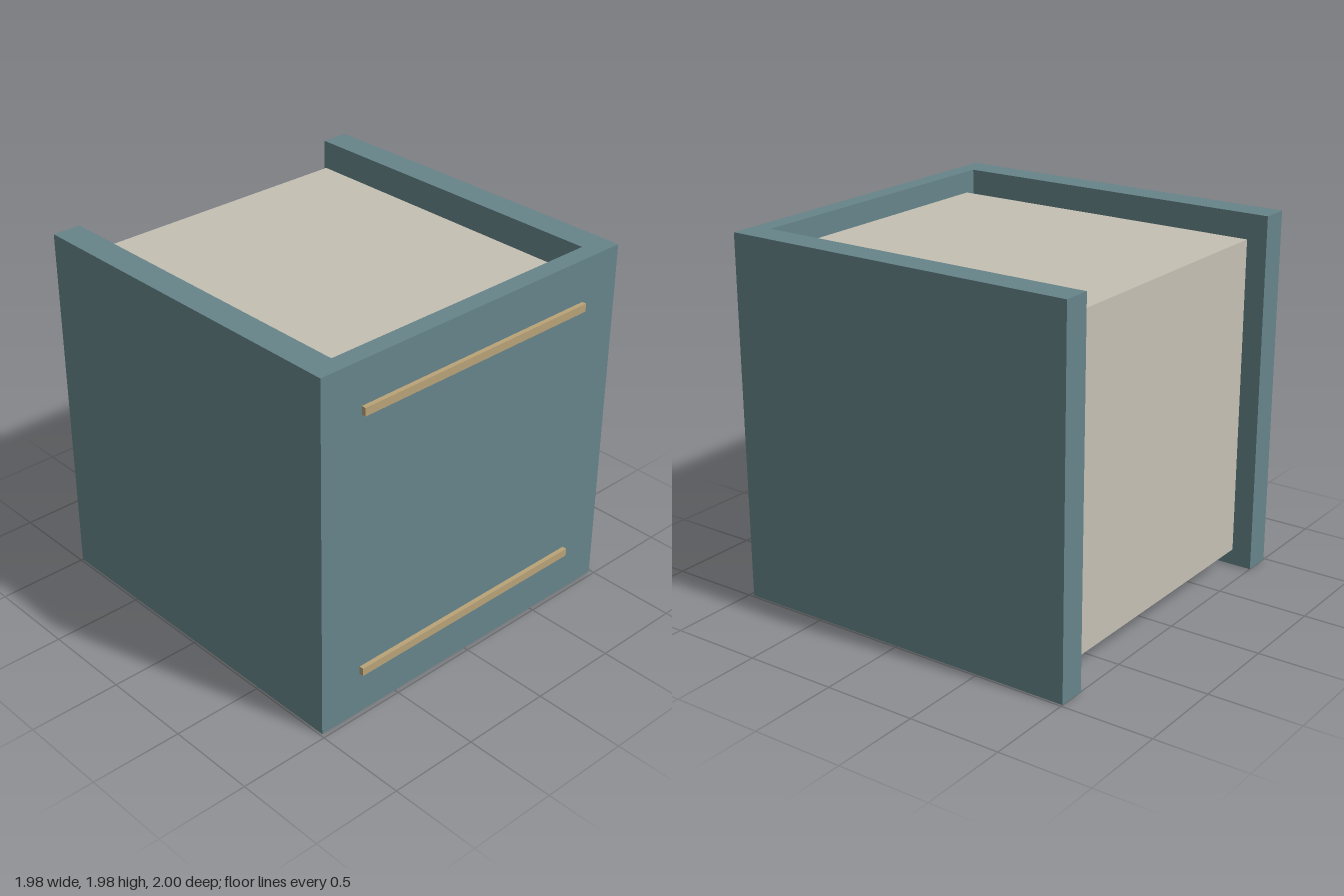
import * as THREE from 'three';

export function createModel() {
  const model = new THREE.Group();
  model.name = 'cabinet';

  const material = (name, color) => {
    const m = new THREE.MeshStandardMaterial({ color });
    m.name = name;
    return m;
  };
  const teal = material('greyTeal', 0x66848a);
  const stone = material('warmStone', 0xc5c0b3);
  const brass = material('mutedBrass', 0xb9a277);

  // Box given by its lower and upper corners
  const box = (name, mat, [x0, y0, z0], [x1, y1, z1]) => {
    const mesh = new THREE.Mesh(new THREE.BoxGeometry(x1 - x0, y1 - y0, z1 - z0), mat);
    mesh.position.set((x0 + x1) / 2, (y0 + y1) / 2, (z0 + z1) / 2);
    mesh.name = name;
    model.add(mesh);
  };

  // U-shaped shell: one extruded outline, open at the back
  const outline = [
    [-0.988, 1], [-0.988, -0.975], [0.988, -0.975], [0.988, 1],
    [0.833, 1], [0.833, -0.875], [-0.833, -0.875], [-0.833, 1],
  ].map(([x, y]) => new THREE.Vector2(x, y));
  const shellGeometry = new THREE.ExtrudeGeometry(new THREE.Shape(outline), {
    depth: 1.977, bevelEnabled: false,
  });
  shellGeometry.rotateX(-Math.PI / 2);
  const shell = new THREE.Mesh(shellGeometry, teal);
  shell.name = 'shell';
  model.add(shell);

  // Inner block, clear of the side walls and against the front panel
  box('core', stone, [-0.772, 0.12, -0.92], [0.772, 1.857, 0.875]);

  // Trim strips across the front
  for (const [name, y] of [['lowerTrim', 0.26], ['upperTrim', 1.722]]) {
    box(name, brass, [-0.743, y - 0.022, 0.975], [0.743, y + 0.022, 1]);
  }
  return model;
}
